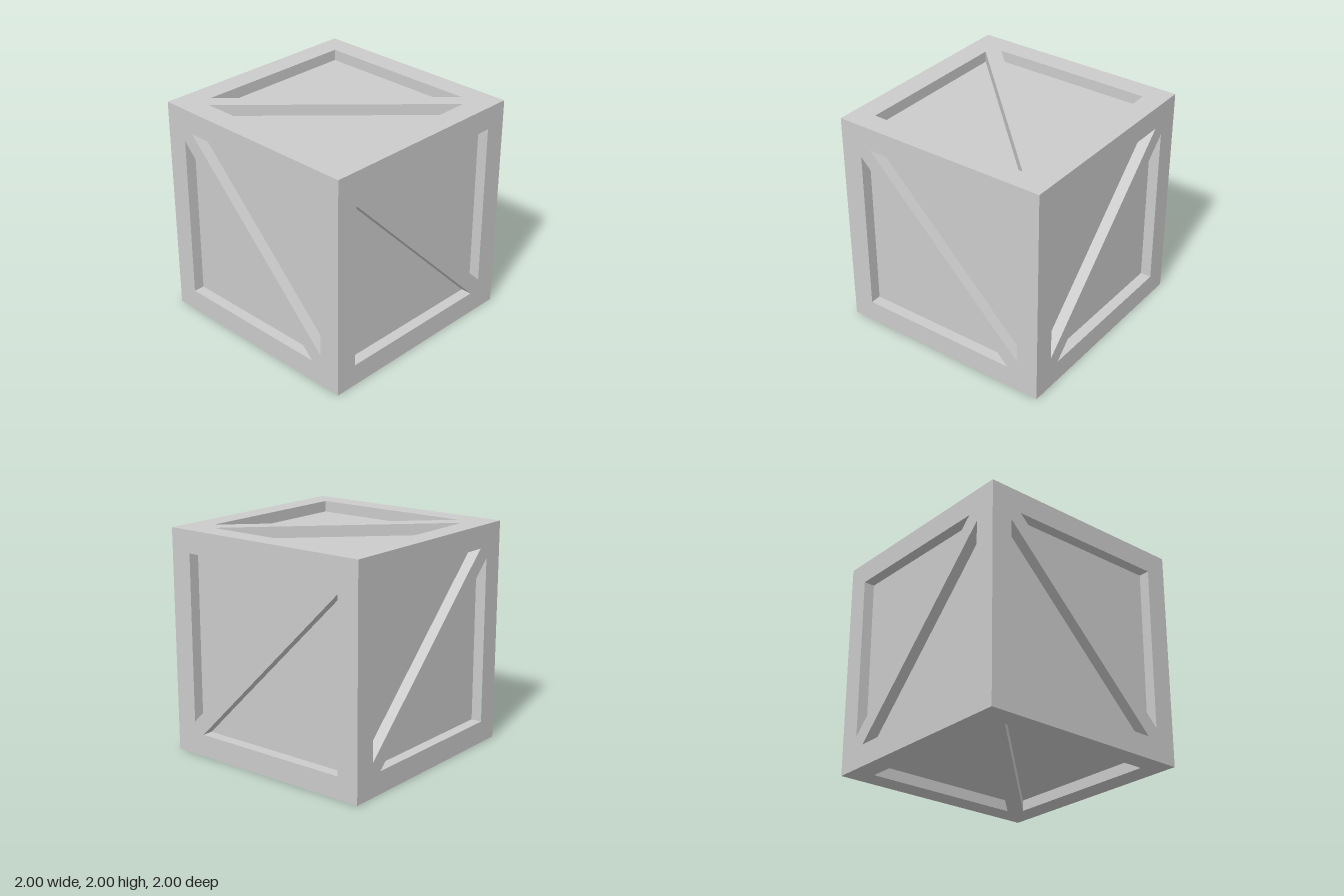
import * as THREE from 'three';

const HALF = 1;        // half the cube's side
const RECESS = 0.1;    // depth of the sunken panels
const FLOOR = HALF - RECESS;

// The two triangular openings either side of the diagonal brace (clockwise)
const upper = [[-0.7, 0.8], [0.8, 0.8], [0.8, -0.7]];
const openings = [upper, upper.map(([x, y]) => [-x, -y])];

const toPoints = (pts) => pts.map(([x, y]) => new THREE.Vector2(x, y));

// Walls that drop from the rim of an opening to its sunken panel
function wallGeometry(pts) {
  const pos = [];
  pts.forEach(([px, py], i) => {
    const [qx, qy] = pts[(i + 1) % pts.length];
    pos.push(px, py, HALF, qx, qy, FLOOR, qx, qy, HALF);
    pos.push(px, py, HALF, px, py, FLOOR, qx, qy, FLOOR);
  });
  const geo = new THREE.BufferGeometry();
  geo.setAttribute('position', new THREE.Float32BufferAttribute(pos, 3));
  geo.computeVertexNormals();
  return geo;
}

export function createModel() {
  const model = new THREE.Group();
  model.name = 'crate';
  const material = new THREE.MeshStandardMaterial({ color: 0xcccccc, flatShading: true });

  // Square border and brace in one flush piece
  const outline = new THREE.Shape(toPoints([[-HALF, -HALF], [HALF, -HALF], [HALF, HALF], [-HALF, HALF]]));
  outline.holes = openings.map((pts) => new THREE.Path(toPoints(pts)));
  const frameGeo = new THREE.ShapeGeometry(outline).translate(0, 0, HALF);
  const panelGeo = new THREE.ShapeGeometry(openings.map((pts) => new THREE.Shape(toPoints(pts))))
    .translate(0, 0, FLOOR);
  const wallGeos = openings.map(wallGeometry);

  // Each side's turn; the quarter turn about z flips the way the brace leans
  const q = Math.PI / 2;
  const sides = {
    front: [0, 0, 0],
    back: [0, 2 * q, q],
    left: [0, q, 0],
    right: [0, -q, q],
    top: [-q, 0, q],
    bottom: [q, 0, 0],
  };

  for (const [name, turn] of Object.entries(sides)) {
    const side = new THREE.Group();
    side.name = `${name}Side`;
    const add = (geo, part) => {
      const mesh = new THREE.Mesh(geo, material);
      mesh.name = part;
      side.add(mesh);
    };
    add(frameGeo, 'frameAndBrace');
    add(panelGeo, 'sunkenPanels');
    wallGeos.forEach((geo) => add(geo, 'recessWalls'));
    side.rotation.set(...turn);
    side.position.y = HALF;
    model.add(side);
  }
  return model;
}
